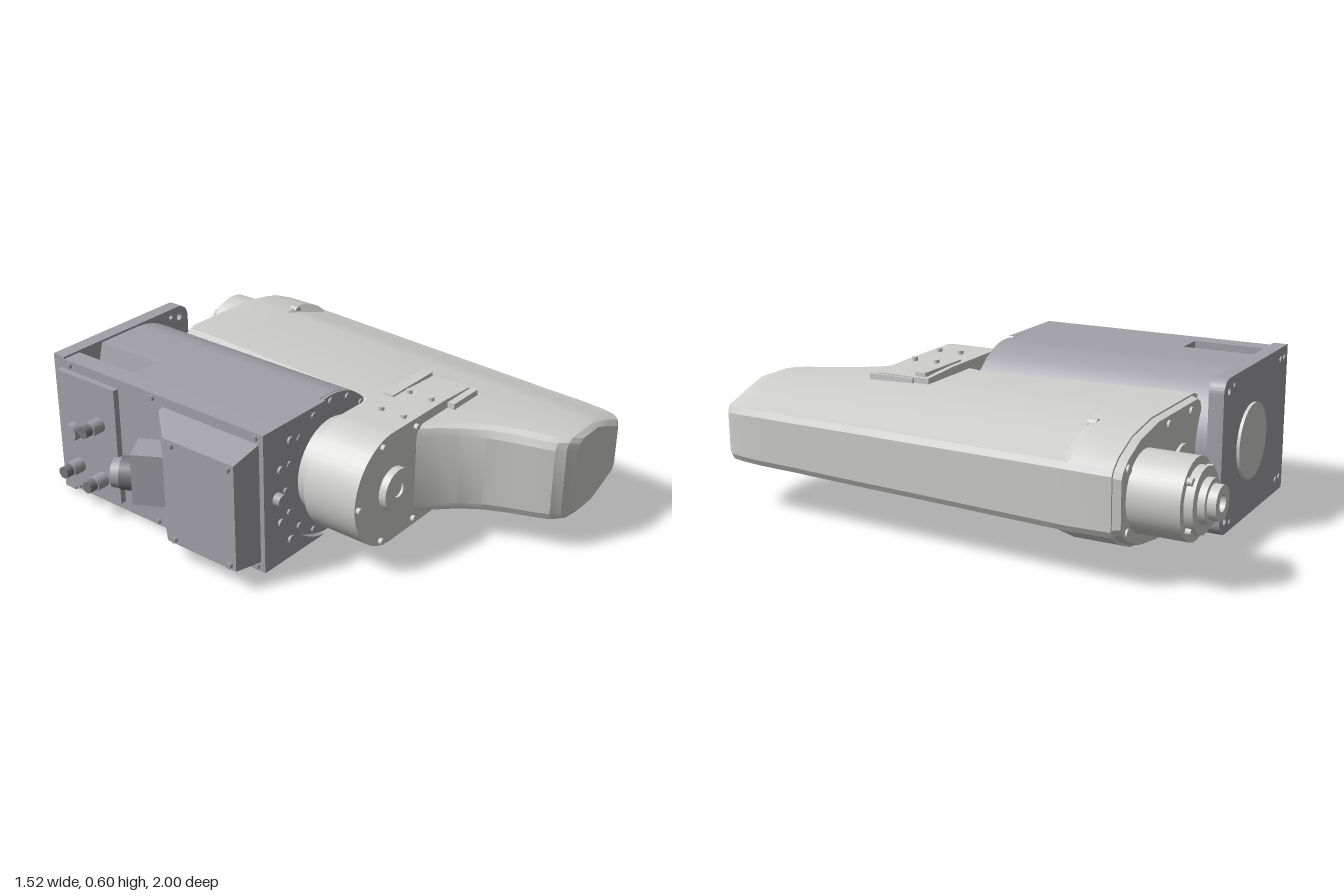
import * as THREE from 'three';
import { toCreasedNormals } from 'three/addons/utils/BufferGeometryUtils.js';

const mat = (name, color) => {
  const m = new THREE.MeshStandardMaterial({ color });
  m.name = name;
  return m;
};
const CX = -0.175, CY = 0.305; // shoulder axis
const WX = 0.558; // wrist axis

// Closed skin through counter-clockwise [x, y] rings placed at rising z
function loft(rings, crease) {
  const pos = [], idx = [], n = rings[0].pts.length;
  rings.forEach(r => r.pts.forEach(([x, y]) => pos.push(x, y, r.z)));
  for (let i = 0; i < rings.length - 1; i++)
    for (let j = 0; j < n; j++) {
      const k = (j + 1) % n, a = i * n + j, b = i * n + k, c = a + n, d = b + n;
      idx.push(a, b, d, a, d, c);
    }
  [0, rings.length - 1].forEach((i, end) => {
    const pts = rings[i].pts, m = pos.length / 3;
    pos.push(pts.reduce((s, p) => s + p[0], 0) / n, pts.reduce((s, p) => s + p[1], 0) / n, rings[i].z);
    for (let j = 0; j < n; j++) {
      const a = i * n + j, b = i * n + (j + 1) % n;
      end ? idx.push(m, a, b) : idx.push(m, b, a);
    }
  });
  const g = new THREE.BufferGeometry();
  g.setAttribute('position', new THREE.Float32BufferAttribute(pos, 3));
  g.setIndex(idx);
  return toCreasedNormals(g, crease);
}

function extrude(shape, z0, z1) {
  const g = new THREE.ExtrudeGeometry(shape, { depth: z1 - z0, bevelEnabled: false, curveSegments: 32 });
  return toCreasedNormals(g.translate(0, 0, z0), 0.5);
}

export function createModel() {
  const root = new THREE.Group();
  root.name = 'robotArm';
  const baseGrey = mat('base grey', 0xa2a1a8);
  const armGrey = mat('arm grey', 0xcfcfce);
  const darkGrey = mat('fitting grey', 0x77777c);

  const add = (name, geo, material, parent = root) => {
    const m = new THREE.Mesh(geo, material);
    m.name = name;
    parent.add(m);
    return m;
  };
  const box = (name, x0, x1, y0, y1, z0, z1, material) =>
    add(name, new THREE.BoxGeometry(x1 - x0, y1 - y0, z1 - z0)
      .translate((x0 + x1) / 2, (y0 + y1) / 2, (z0 + z1) / 2), material);
  const cylZ = (name, x, y, r, z0, z1, material, seg = 40) =>
    add(name, new THREE.CylinderGeometry(r, r, z1 - z0, seg).rotateX(Math.PI / 2).translate(x, y, (z0 + z1) / 2), material);
  const cylX = (name, x0, x1, y, z, r, material, seg = 16) =>
    add(name, new THREE.CylinderGeometry(r, r, x1 - x0, seg).rotateZ(Math.PI / 2).translate((x0 + x1) / 2, y, z), material);
  // Ring or hollow hub along z
  const tubeZ = (name, x, y, r, hole, z0, z1, material) => {
    const s = new THREE.Shape().absarc(x, y, r, 0, Math.PI * 2);
    s.holes.push(new THREE.Path().absarc(x, y, hole, 0, Math.PI * 2, true));
    return add(name, extrude(s, z0, z1), material);
  };

  // Base body: flat on the left, half round on the right, pocket on top at the rear
  const bodyShape = pocket => {
    const s = new THREE.Shape();
    s.moveTo(-0.57, 0.021);
    s.lineTo(CX, 0.021);
    s.absarc(CX, CY, 0.284, -Math.PI / 2, Math.PI / 2);
    if (pocket) {
      s.lineTo(-0.37, 0.589);
      s.lineTo(-0.41, 0.44);
      s.lineTo(-0.485, 0.43);
      s.lineTo(-0.49, 0.589);
    }
    s.lineTo(-0.57, 0.589);
    return s;
  };
  add('baseBody', extrude(bodyShape(false), -0.47, 0.21), baseGrey);
  add('baseBodyRear', extrude(bodyShape(true), -0.78, -0.47), baseGrey);

  // Raised front lip around the shoulder ring
  const lip = new THREE.Shape();
  lip.moveTo(-0.57, 0.021);
  lip.lineTo(-0.22, 0.021);
  lip.absarc(CX, CY, 0.288, -1.73, 1.73, true);
  lip.lineTo(-0.57, 0.589);
  add('baseFrontLip', extrude(lip, 0.21, 0.235), baseGrey);
  for (let i = -2; i <= 2; i++) {
    const a = Math.PI + i * 0.345;
    cylZ('lipBolt', CX + 0.325 * Math.cos(a), CY + 0.325 * Math.sin(a), i ? 0.016 : 0.025, 0.235, i ? 0.245 : 0.265, baseGrey, 16);
  }

  // Mounting plate with rounded right corners and bolt holes
  const plate = new THREE.Shape();
  plate.moveTo(-0.57, 0.008);
  plate.lineTo(0.065, 0.008);
  plate.absarc(0.065, 0.063, 0.055, -Math.PI / 2, 0);
  plate.absarc(0.065, 0.543, 0.055, 0, Math.PI / 2);
  plate.lineTo(-0.57, 0.598);
  for (const [x, y, r] of [[0.02, 0.045, 0.01], [0.02, 0.565, 0.01], [0.07, 0.06, 0.015], [0.07, 0.55, 0.015]])
    plate.holes.push(new THREE.Path().absarc(x, y, r, 0, Math.PI * 2, true));
  add('mountingPlate', extrude(plate, -0.828, -0.77), baseGrey);
  cylZ('mountingPlateDisc', CX, CY, 0.147, -0.84, -0.828, armGrey);
  for (const x of [-0.53, -0.49])
    for (const y of [0.06, 0.55]) cylZ('plateBolt', x, y, 0.014, -0.834, -0.828, baseGrey, 16);

  // Underside block with four screws, flush with the lowest line of the body
  box('undersideCover', -0.33, -0.01, 0.006, 0.1, -0.77, -0.52, baseGrey);
  for (const x of [-0.3, -0.04])
    for (const z of [-0.74, -0.55])
      add('coverScrew', new THREE.CylinderGeometry(0.012, 0.012, 0.012, 12).translate(x, 0.006, z), baseGrey);

  // Cable box on the left wall, tapering to the rear
  const cableRing = (z, x, d) => ({ z, pts: [[x, 0.06 + d], [-0.56, 0.06], [-0.56, 0.55], [x, 0.55 - d]] });
  add('cableBox', loft([cableRing(-0.25, -0.59, 0.01), cableRing(-0.12, -0.705, 0.03), cableRing(0.215, -0.705, 0.03)], 0.2), baseGrey);
  for (const y of [0.11, 0.5])
    for (const z of [-0.08, 0.19]) cylX('cableBoxBolt', -0.72, -0.7, y, z, 0.011, baseGrey, 12);

  // Angled cable connector
  const connector = new THREE.Group();
  connector.name = 'cableConnector';
  connector.position.set(-0.605, CY, -0.18);
  connector.rotation.y = -2.62;
  root.add(connector);
  add('connectorHousing', new THREE.BoxGeometry(0.13, 0.21, 0.14).translate(0, 0, 0.07), baseGrey, connector);
  add('connectorNut', new THREE.CylinderGeometry(0.064, 0.064, 0.05, 24).rotateX(Math.PI / 2).translate(0, -0.01, 0.165), darkGrey, connector);
  add('connectorGland', new THREE.CylinderGeometry(0.056, 0.06, 0.035, 24).rotateX(Math.PI / 2).translate(0, -0.01, 0.207), baseGrey, connector);

  // Service panel with plugs
  box('servicePanel', -0.595, -0.57, 0.06, 0.55, -0.79, -0.48, baseGrey);
  cylX('panelButton', -0.63, -0.59, 0.31, -0.71, 0.035, baseGrey, 24);
  for (const [y, z] of [[0.38, -0.57], [0.14, -0.57], [0.16, -0.7]]) {
    cylX('panelPlug', -0.65, -0.59, y, z, 0.03, baseGrey);
    cylX('panelPlugTip', -0.685, -0.65, y, z, 0.024, darkGrey);
  }
  for (const y of [0.04, 0.57])
    for (const z of [-0.74, -0.3, 0.2]) cylX('wallBolt', -0.582, -0.57, y, z, 0.011, baseGrey, 12);

  // Shoulder ring, neck and bolts
  cylZ('shoulderNeck', CX, CY, 0.19, 0.2, 0.29, armGrey);
  tubeZ('shoulderRing', CX, CY, 0.283, 0.18, 0.205, 0.222, baseGrey);
  for (let i = 0; i < 16; i++) {
    const a = i * Math.PI / 8;
    cylZ('shoulderBolt', CX + 0.262 * Math.cos(a), CY + 0.262 * Math.sin(a), 0.013, 0.22, 0.23, baseGrey, 12);
  }

  // Joint housing at the arm root
  const joint = new THREE.Shape();
  joint.moveTo(0.32, 0.09);
  joint.lineTo(0.32, 0.52);
  joint.lineTo(0.15, 0.53);
  joint.lineTo(CX, CY + 0.227);
  joint.absarc(CX, CY, 0.227, Math.PI / 2, Math.PI * 1.5);
  joint.lineTo(0.15, 0.08);
  add('jointHousing', extrude(joint, 0.28, 0.51), armGrey);
  box('jointShoulder', 0.17, 0.33, 0.095, 0.515, 0.345, 0.54, armGrey);
  tubeZ('jointHub', CX, CY, 0.083, 0.03, 0.51, 0.54, armGrey);
  cylZ('jointHubCore', CX, CY, 0.03, 0.5, 0.53, armGrey, 20);
  for (const [x, y] of [[-0.385, CY], [-0.245, 0.5], [-0.04, 0.5], [-0.245, 0.11], [-0.04, 0.11]])
    cylZ('jointBolt', x, y, 0.012, 0.51, 0.525, armGrey, 12);
  for (const side of [1, -1]) {
    const y = CY + side * 0.225;
    box('jointCoverTab', 0.05, 0.31, y - 0.008, y + 0.008, 0.3, 0.345, armGrey);
    for (const x of [-0.06, 0.12])
      for (const z of [0.37, 0.47])
        add('coverScrew', new THREE.CylinderGeometry(0.012, 0.012, 0.03, 12).translate(x, y, z), armGrey);
  }

  // Arm shell stations: z, left x, right x, half height, side half height, shoulder bulge
  const stations = [
    [-0.69, 0.015, 0.75, 0.22, 0.11, 1], [-0.53, 0.015, 0.752, 0.218, 0.112, 1], [-0.49, 0.015, 0.75, 0.216, 0.112, 0.1],
    [0.21, 0.0, 0.718, 0.195, 0.105, 0.1], [0.3, -0.03, 0.714, 0.193, 0.105, 0.1], [0.51, -0.03, 0.705, 0.187, 0.102, 0.1],
    [0.56, 0.02, 0.702, 0.186, 0.102, 0.1], [0.63, 0.08, 0.699, 0.183, 0.1, 0.1], [0.71, 0.13, 0.696, 0.181, 0.1, 0.1],
    [0.8, 0.165, 0.692, 0.178, 0.1, 0.1], [0.9, 0.195, 0.686, 0.175, 0.097, 0.1], [0.95, 0.215, 0.675, 0.173, 0.096, 0.1],
    [0.98, 0.245, 0.65, 0.17, 0.095, 0.1], [1.0, 0.29, 0.61, 0.155, 0.088, 0.1],
  ];
  const armRing = ([z, l, r, h, s, b]) => {
    const c = 0.44, at = t => c + (r - c) * t;
    const drop = (t, lift) => h + (s - h) * t + lift * b;
    const top = [[r, s - 0.015], [r - 0.012, s + 0.008], [at(0.83), drop(0.83, 0.022)], [at(0.5), drop(0.5, 0.03)], [c, h],
      [l + 0.04, h], [l + 0.012, h - 0.012], [l, h - 0.04]];
    const low = top.map(([x, y]) => [x, -y]).reverse();
    return { z, pts: [...top, ...low].map(([x, y]) => [x, CY + y]) };
  };
  add('armShell', loft(stations.map(armRing), 0.35), armGrey);
  add('armRearCover', loft([armRing([-0.72, 0.06, 0.738, 0.21, 0.1, 1]), armRing([-0.68, 0.03, 0.744, 0.215, 0.106, 1])], 0.35), armGrey);
  cylZ('rearCoverDisc', 0.24, CY, 0.08, -0.732, -0.72, armGrey);
  for (const x of [0.16, 0.36, 0.69])
    for (const side of [1, -1])
      cylZ('rearCoverBolt', x, CY + side * (x > 0.6 ? 0.11 : 0.18), 0.016, -0.728, -0.72, armGrey, 12);
  for (const side of [1, -1]) // front facing collar screws
    cylZ('collarScrew', 0.52, CY + side * 0.195, 0.018, -0.53, -0.495, armGrey, 16);

  // Wrist: stepped drum with a hollow flange
  cylZ('wristDrum', WX, CY, 0.145, -0.91, -0.7, armGrey, 48);
  cylZ('wristStep', WX, CY, 0.116, -0.942, -0.91, armGrey);
  cylZ('wristCollar', WX, CY, 0.08, -0.968, -0.94, armGrey);
  tubeZ('wristFlange', WX, CY, 0.062, 0.03, -1, -0.965, armGrey);
  cylZ('wristBore', WX, CY, 0.03, -0.98, -0.96, armGrey, 20);
  for (let i = 0; i < 4; i++) {
    const a = (i + 0.5) * Math.PI / 2;
    cylZ('wristBolt', WX + 0.12 * Math.cos(a), CY + 0.12 * Math.sin(a), 0.014, -0.93, -0.905, armGrey, 12);
  }
  return root;
}
